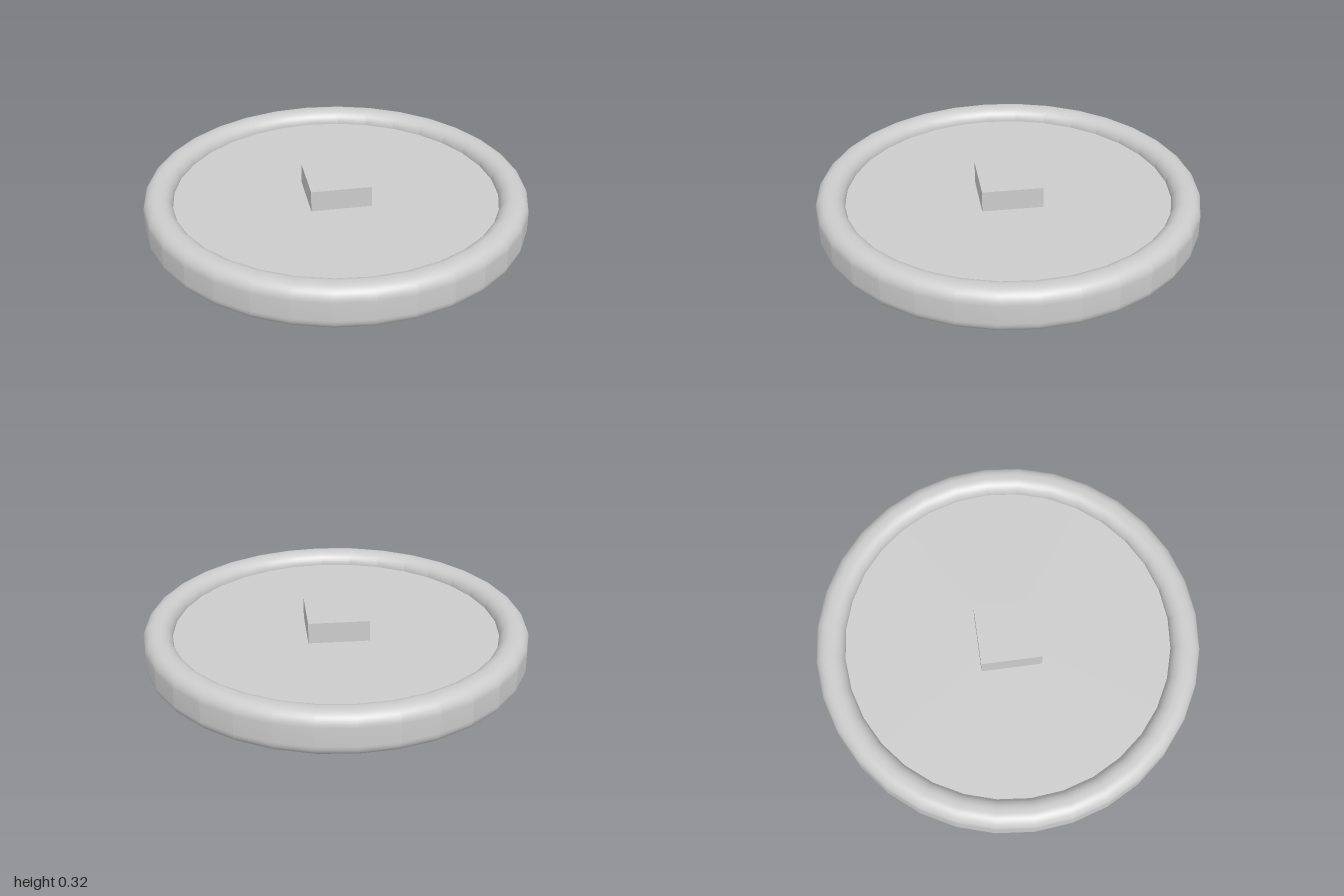
import * as THREE from 'three';
import { toCreasedNormals } from 'three/addons/utils/BufferGeometryUtils.js';

const SIDES = 32;
const MID = 0.158; // height of the wheel's middle plane
const HALF_DISC = 0.047;

// Closed rounded-rectangle section, counter-clockwise in (radius, height)
function rimProfile(inner, outer, halfHeight, r, steps) {
  const corners = [
    [outer - r, -halfHeight + r, -Math.PI / 2],
    [outer - r, halfHeight - r, 0],
    [inner + r, halfHeight - r, Math.PI / 2],
    [inner + r, -halfHeight + r, Math.PI],
  ];
  const points = [];
  for (const [cx, cy, start] of corners) {
    for (let i = 0; i <= steps; i++) {
      const a = start + (i / steps) * Math.PI / 2;
      points.push(new THREE.Vector2(cx + r * Math.cos(a), cy + r * Math.sin(a)));
    }
  }
  points.push(points[0].clone());
  return points;
}

export function createModel() {
  const group = new THREE.Group();
  const material = new THREE.MeshStandardMaterial({ color: 0xcccccc });
  const add = (name, geometry) => {
    const mesh = new THREE.Mesh(geometry, material);
    mesh.name = name;
    mesh.position.y = MID;
    group.add(mesh);
  };

  // Rim: rounded section swept round; faceted outer wall, smooth shoulders
  const lathe = new THREE.LatheGeometry(rimProfile(0.85, 1, 0.115, 0.068, 12), SIDES);
  lathe.scale(10, 10, 10); // enlarged so close vertices stay distinct while creasing
  const rim = toCreasedNormals(lathe, THREE.MathUtils.degToRad(10.5));
  rim.scale(0.1, 0.1, 0.1);
  add('rim', rim);

  // Flat web filling the rim
  add('disc', toCreasedNormals(new THREE.CylinderGeometry(0.9, 0.9, HALF_DISC * 2, SIDES), 0.6));

  // Square hub passing through the middle
  add('hub', new THREE.BoxGeometry(0.316, MID * 2, 0.316));

  return group;
}
